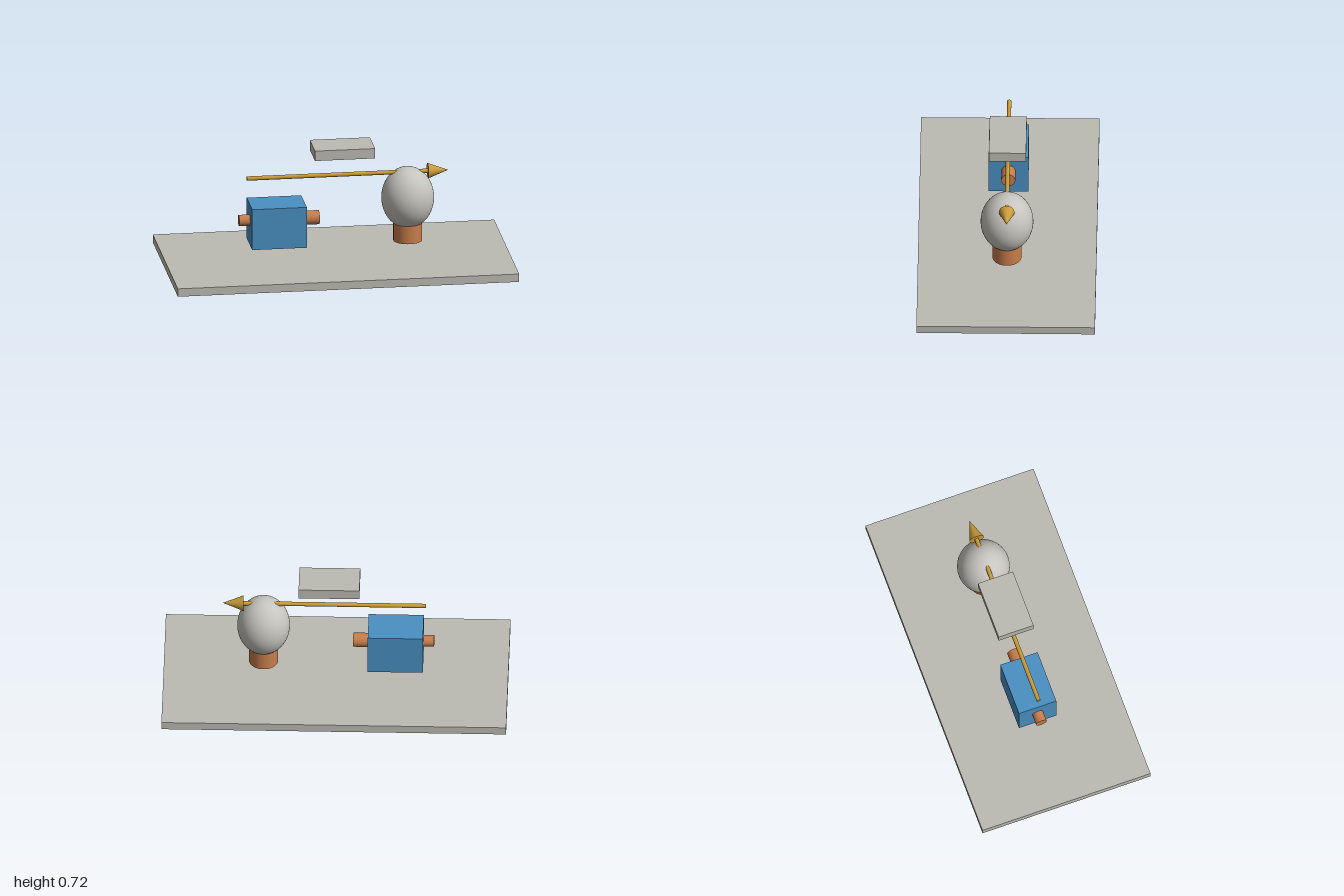
import * as THREE from 'three';

const paint = (name, color) => {
  const m = new THREE.MeshStandardMaterial({ color });
  m.name = name;
  return m;
};

export function createModel() {
  const group = new THREE.Group();
  const stone = paint('warm grey', 0xbdbbb3);
  const pearl = paint('pale grey', 0xc6c4be);
  const blue = paint('blue', 0x4a90c2);
  const copper = paint('copper', 0xc87d4c);
  const gold = paint('gold', 0xc99c3a);

  const add = (name, geometry, material, x, y, z = 0) => {
    const mesh = new THREE.Mesh(geometry, material);
    mesh.name = name;
    mesh.position.set(x, y, z);
    group.add(mesh);
    return mesh;
  };
  // Cylinder or cone lying along x, from x0 to x1
  const rod = (name, material, x0, x1, y, r0, r1 = r0) =>
    add(name, new THREE.CylinderGeometry(r1, r0, x1 - x0, 48).rotateZ(-Math.PI / 2),
      material, (x0 + x1) / 2, y);

  // Base slab and floating plate
  add('base', new THREE.BoxGeometry(2, 0.048, 1.036), stone, 0, 0.024);
  add('upperPlate', new THREE.BoxGeometry(0.353, 0.06, 0.215), stone, 0.038, 0.687);

  // Block with a stub on each end
  add('block', new THREE.BoxGeometry(0.32, 0.246, 0.23), blue, -0.347, 0.256);
  rod('rightStub', copper, -0.57, -0.507, 0.279, 0.033);
  rod('leftStub', copper, -0.187, -0.1, 0.279, 0.041);

  // Bulb seated in its socket
  add('bulb', new THREE.SphereGeometry(1, 48, 32).scale(0.153, 0.183, 0.153), pearl, 0.42, 0.378);
  add('socket', new THREE.CylinderGeometry(0.084, 0.084, 0.109, 48), copper, 0.42, 0.1715);

  // Arrow passing through the top of the bulb
  rod('arrowShaft', gold, -0.523, 0.537, 0.533, 0.0125);
  rod('arrowHead', gold, 0.537, 0.656, 0.533, 0.045, 0);

  return group;
}
